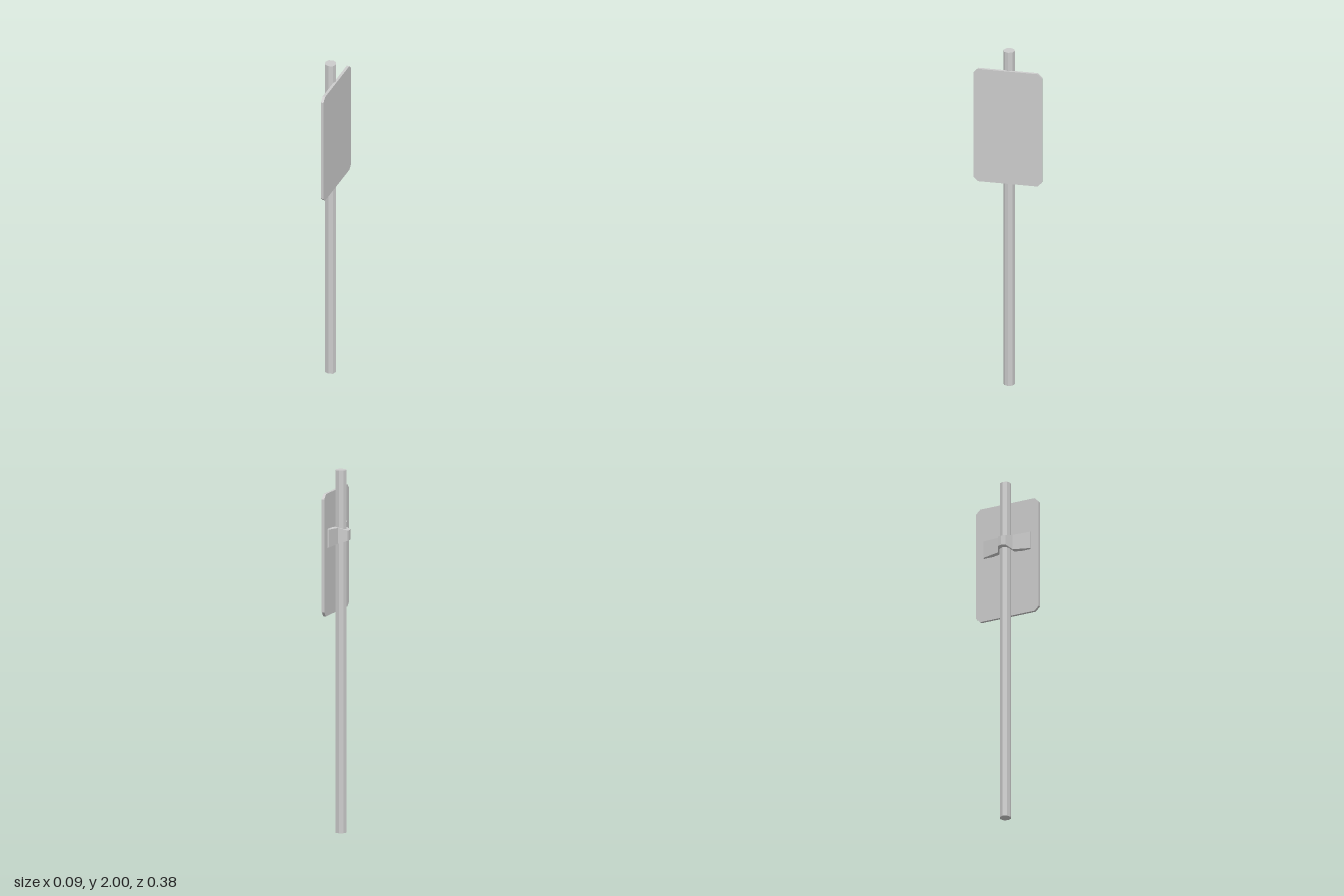
import * as THREE from 'three';

const material = new THREE.MeshStandardMaterial({ color: 0xcccccc, flatShading: true });

function addPart(group, name, geometry) {
  const mesh = new THREE.Mesh(geometry, material);
  mesh.name = name;
  group.add(mesh);
  return mesh;
}

const shapeOf = (points) => new THREE.Shape(points.map(([x, y]) => new THREE.Vector2(x, y)));

export function createModel() {
  const group = new THREE.Group();
  group.name = 'signPost';

  // Eight-sided pole
  addPart(group, 'pole', new THREE.CylinderGeometry(0.032, 0.032, 2, 8)).position.set(0.006, 1, 0);

  // Sign panel with clipped corners, facing +x
  const w = 0.19, h = 0.337, c = 0.025;
  const panel = new THREE.ExtrudeGeometry(shapeOf([
    [-w + c, -h], [w - c, -h], [w, -h + c], [w, h - c],
    [w - c, h], [-w + c, h], [-w, h - c], [-w, -h + c],
  ]), { depth: 0.015, bevelEnabled: false });
  panel.rotateY(Math.PI / 2);
  addPart(group, 'signPanel', panel).position.set(0.03, 1.554, 0);

  // Bent strap around the back of the pole: half profile (x, z), mirrored in z
  const outer = [[0.022, 0.142], [0.005, 0.045], [-0.04, 0.023]];
  const inner = [[0.04, 0.142], [0.023, 0.045], [-0.016, 0.026]];
  const mirror = (points) => points.map(([x, z]) => [x, -z]).reverse();
  const strap = new THREE.ExtrudeGeometry(shapeOf([
    ...outer, [-0.045, 0], ...mirror(outer),
    ...mirror(inner).reverse(), [-0.027, 0], ...[...inner].reverse(),
  ]), { depth: 1, bevelEnabled: false });
  strap.translate(0, 0, -0.5);
  strap.rotateX(-Math.PI / 2);

  // The strap grows taller towards the panel
  const p = strap.attributes.position;
  for (let i = 0; i < p.count; i++) {
    p.setY(i, p.getY(i) * (0.054 + 0.66 * (p.getX(i) + 0.045)));
  }
  strap.computeVertexNormals();
  addPart(group, 'strapBracket', strap).position.y = 1.643;

  return group;
}
